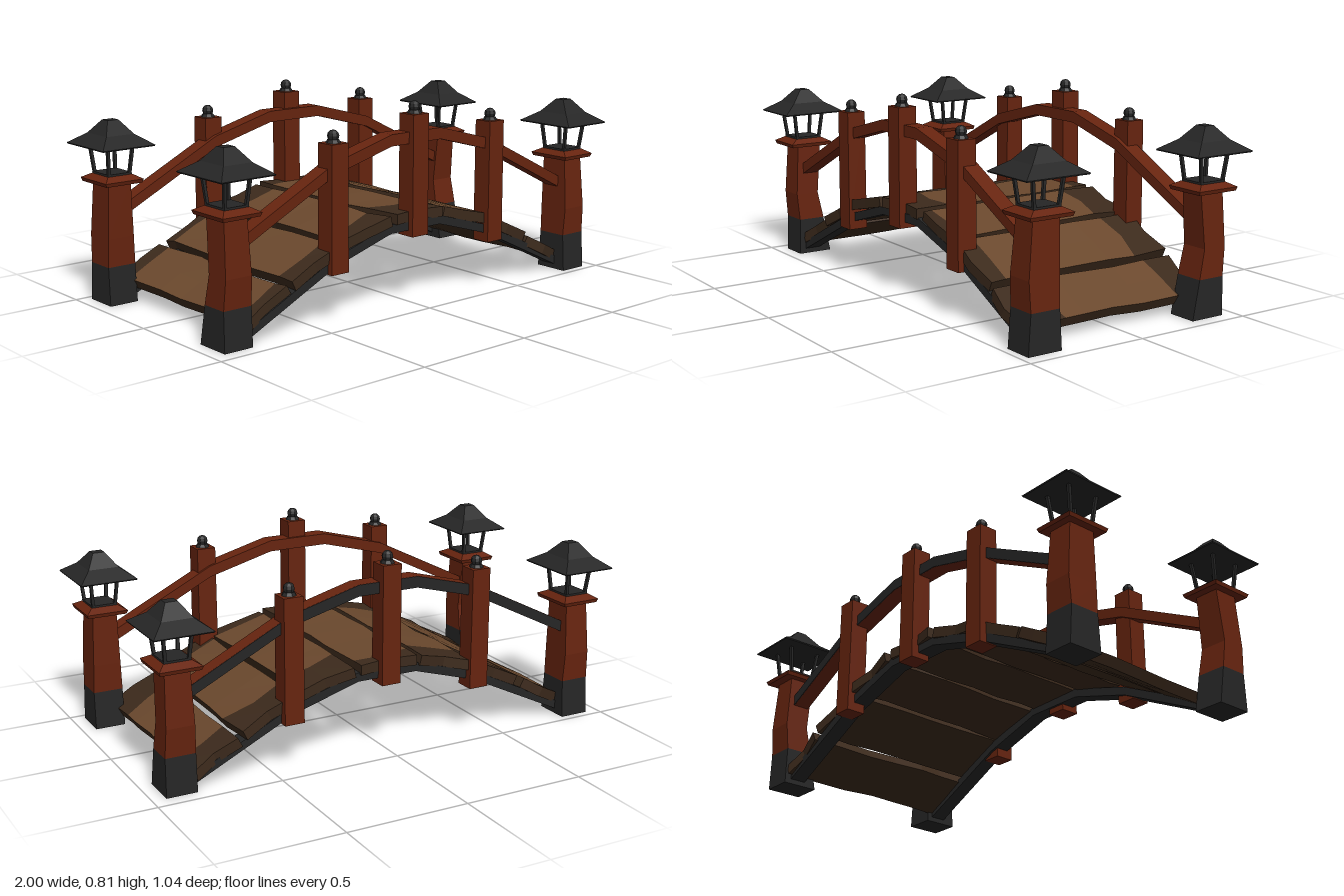
import * as THREE from 'three';

const mat = (name, color) => Object.assign(new THREE.MeshStandardMaterial({ color }), { name });

// Small seeded generator, -1..1, for worn wood
function seeded(seed) {
  let s = seed * 7919 + 17;
  return () => {
    s = (s * 16807) % 2147483647;
    return (s / 2147483647) * 2 - 1;
  };
}

// Flat-shaded mesh from a list of quads [a, b, c, d], counter-clockwise
function quadMesh(name, quads, material) {
  const pos = [];
  for (const [a, b, c, d] of quads) pos.push(...a, ...b, ...c, ...a, ...c, ...d);
  const g = new THREE.BufferGeometry();
  g.setAttribute('position', new THREE.Float32BufferAttribute(pos, 3));
  g.computeVertexNormals();
  const m = new THREE.Mesh(g, material);
  m.name = name;
  return m;
}

// Rectangular rings [y, centreX, centreZ, halfX, halfZ] joined upwards and capped
function loft(name, rings, material) {
  const loops = rings.map(([y, x, z, hx, hz]) =>
    [[-1, 1], [1, 1], [1, -1], [-1, -1]].map(([a, b]) => [x + a * hx, y, z + b * hz]));
  const quads = [[...loops[0]].reverse(), loops[loops.length - 1]];
  for (let i = 0; i + 1 < loops.length; i++)
    for (let k = 0; k < 4; k++) {
      const n = (k + 1) % 4;
      quads.push([loops[i][k], loops[i][n], loops[i + 1][n], loops[i + 1][k]]);
    }
  return quadMesh(name, quads, material);
}

// Bar following a path in the xy plane
function bar(name, path, thick, z0, depth, material) {
  const top = path.map(([x, y]) => new THREE.Vector2(x, y + thick / 2));
  const low = path.map(([x, y]) => new THREE.Vector2(x, y - thick / 2)).reverse();
  const g = new THREE.ExtrudeGeometry(new THREE.Shape([...low, ...top]), { depth, bevelEnabled: false });
  g.translate(0, 0, z0);
  const m = new THREE.Mesh(g, material);
  m.name = name;
  return m;
}

// Uneven plank between two top edges, with dark ends, edges and underside
function plank(index, [x0, y0, x1, y1, back, front], wood, darkWood) {
  const rnd = seeded(index + 3);
  const thick = 0.042, cols = 3;
  const zs = [-0.425, back, -0.14, 0, 0.14, front, 0.42];
  const len = Math.hypot(x1 - x0, y1 - y0);
  const down = [((y1 - y0) / len) * thick, (-(x1 - x0) / len) * thick];
  const top = [], low = [];
  zs.forEach((z, j) => {
    const wide = [rnd() * 0.009, 0, rnd() * 0.009], lift = rnd() * 0.004;
    const end = j === 0 || j === 6, stain = j === 1 || j === 5;
    top.push([]); low.push([]);
    for (let i = 0; i < cols; i++) {
      const u = i / (cols - 1);
      const x = x0 + (x1 - x0) * u + wide[i], y = y0 + (y1 - y0) * u + lift;
      const zz = z + rnd() * (end ? 0.014 : stain ? 0.02 : 0);
      top[j].push([x, y, zz]);
      low[j].push([x + down[0], y + down[1], zz]);
    }
  });
  const light = [], dark = [], e = cols - 1, last = zs.length - 1;
  for (let j = 0; j < last; j++) {
    for (let i = 0; i < e; i++) {
      (j === 0 || j === last - 1 ? dark : light).push([top[j][i], top[j + 1][i], top[j + 1][i + 1], top[j][i + 1]]);
      dark.push([low[j][i], low[j][i + 1], low[j + 1][i + 1], low[j + 1][i]]);
    }
    dark.push([low[j][0], low[j + 1][0], top[j + 1][0], top[j][0]]);
    dark.push([low[j + 1][e], low[j][e], top[j][e], top[j + 1][e]]);
  }
  for (let i = 0; i < e; i++) {
    dark.push([low[last][i], low[last][i + 1], top[last][i + 1], top[last][i]]);
    dark.push([low[0][i + 1], low[0][i], top[0][i], top[0][i + 1]]);
  }
  const g = new THREE.Group();
  g.name = 'plank';
  g.add(quadMesh('plankTop', light, wood), quadMesh('plankEdges', dark, darkWood));
  return g;
}

// Crooked corner post with a lantern; side is the sign of z
function lampPost(side, red, iron) {
  const g = new THREE.Group();
  g.name = 'lampPost';
  const X = 0.883, Z = 0.385 * side;
  const rings = side > 0
    ? [[0, X, 0.397, 0.062, 0.073], [0.155, X, 0.396, 0.061, 0.063], [0.27, X, 0.398, 0.057, 0.067], [0.487, X, 0.388, 0.05, 0.058]]
    : [[0, X, -0.37, 0.062, 0.075], [0.155, X, -0.383, 0.061, 0.058], [0.27, X, -0.4, 0.057, 0.051], [0.487, X, -0.383, 0.05, 0.054]];
  const box = (name, list, m) => g.add(loft(name, list.map(([y, hx, hz]) => [y, X, Z, hx, hz]), m));
  g.add(loft('postFoot', rings.slice(0, 2), iron), loft('postBody', rings.slice(1), red));
  box('postCap', [[0.485, 0.08, 0.091], [0.5, 0.085, 0.096], [0.518, 0.056, 0.062]], red);
  box('lanternFloor', [[0.518, 0.053, 0.06], [0.526, 0.053, 0.06]], iron);
  for (const a of [-1, 1])
    for (const b of [-1, 1])
      g.add(loft('lanternStrut', [
        [0.52, X + a * 0.046, Z + b * 0.053, 0.006, 0.006],
        [0.637, X + a * 0.056, Z + b * 0.068, 0.006, 0.006]], iron));
  box('lanternRoof', [[0.632, 0.115, 0.134], [0.637, 0.117, 0.137], [0.678, 0.062, 0.072], [0.732, 0.024, 0.021]], iron);
  return g;
}

// Square rail post with a round finial
function railPost(x, z, bottom, top, red, iron) {
  const g = new THREE.Group();
  g.name = 'railPost';
  g.add(loft('railPostBody', [[bottom, x, z, 0.041, 0.041], [top, x, z, 0.04, 0.04]], red));
  const part = (name, geo, y) => {
    const flat = geo.toNonIndexed();
    flat.computeVertexNormals();
    const m = new THREE.Mesh(flat, iron);
    m.name = name;
    m.position.set(x, y, z);
    g.add(m);
  };
  part('finialBase', new THREE.CylinderGeometry(0.022, 0.03, 0.014, 8), top + 0.006);
  part('finialBall', new THREE.SphereGeometry(0.023, 8, 6), top + 0.026);
  return g;
}

export function createModel() {
  const red = mat('redWood', 0x67240f);
  const iron = mat('darkIron', 0x262626);
  const wood = mat('plankWood', 0x6a482d);
  const darkWood = mat('darkPlankWood', 0x3c2a1c);
  const bridge = new THREE.Group();
  bridge.name = 'bridge';

  // Deck: startX, startY, endX, endY, back stain, front stain
  [
    [-0.83, 0.085, -0.645, 0.185, -0.36, 0.35],
    [-0.62, 0.2, -0.41, 0.303, -0.36, 0.34],
    [-0.385, 0.315, -0.15, 0.373, -0.28, 0.32],
    [-0.12, 0.377, 0.13, 0.372, -0.36, 0.27],
    [0.16, 0.372, 0.39, 0.312, -0.27, 0.35],
    [0.41, 0.302, 0.63, 0.195, -0.28, 0.33],
    [0.648, 0.175, 0.84, 0.075, -0.29, 0.24],
  ].forEach((p, i) => bridge.add(plank(i, p, wood, darkWood)));

  // Beams under the deck and handrails above it
  const mirrorPath = (half) => [...half, ...half.map(([x, y]) => [-x, y]).reverse()];
  const beamPath = mirrorPath([[-0.86, 0.02], [-0.41, 0.238], [-0.13, 0.322]]);
  const railPath = mirrorPath([[-0.86, 0.37], [-0.41, 0.595], [-0.13, 0.67]]);
  for (const z0 of [0.348, -0.416]) {
    bridge.add(bar('deckBeam', beamPath, 0.036, z0, 0.068, iron));
    bridge.add(bar('handrail', railPath, 0.046, z0, 0.068, red));
  }
  // Dark outer face of the back handrail
  bridge.add(bar('backRailFacing', railPath, 0.045, -0.419, 0.004, iron));

  // Rail posts on both sides
  for (const z of [0.4, -0.407])
    for (const [x, bottom, top] of [[-0.408, 0.197, 0.692], [0, 0.28, 0.762], [0.42, 0.192, 0.692]])
      bridge.add(railPost(x, z, bottom, top, red, iron));

  // Lamp posts, the other end turned half round
  for (const turn of [0, Math.PI]) {
    const pair = new THREE.Group();
    pair.name = turn ? 'rightLampPosts' : 'leftLampPosts';
    pair.add(lampPost(1, red, iron), lampPost(-1, red, iron));
    pair.rotation.y = turn;
    bridge.add(pair);
  }
  return bridge;
}
